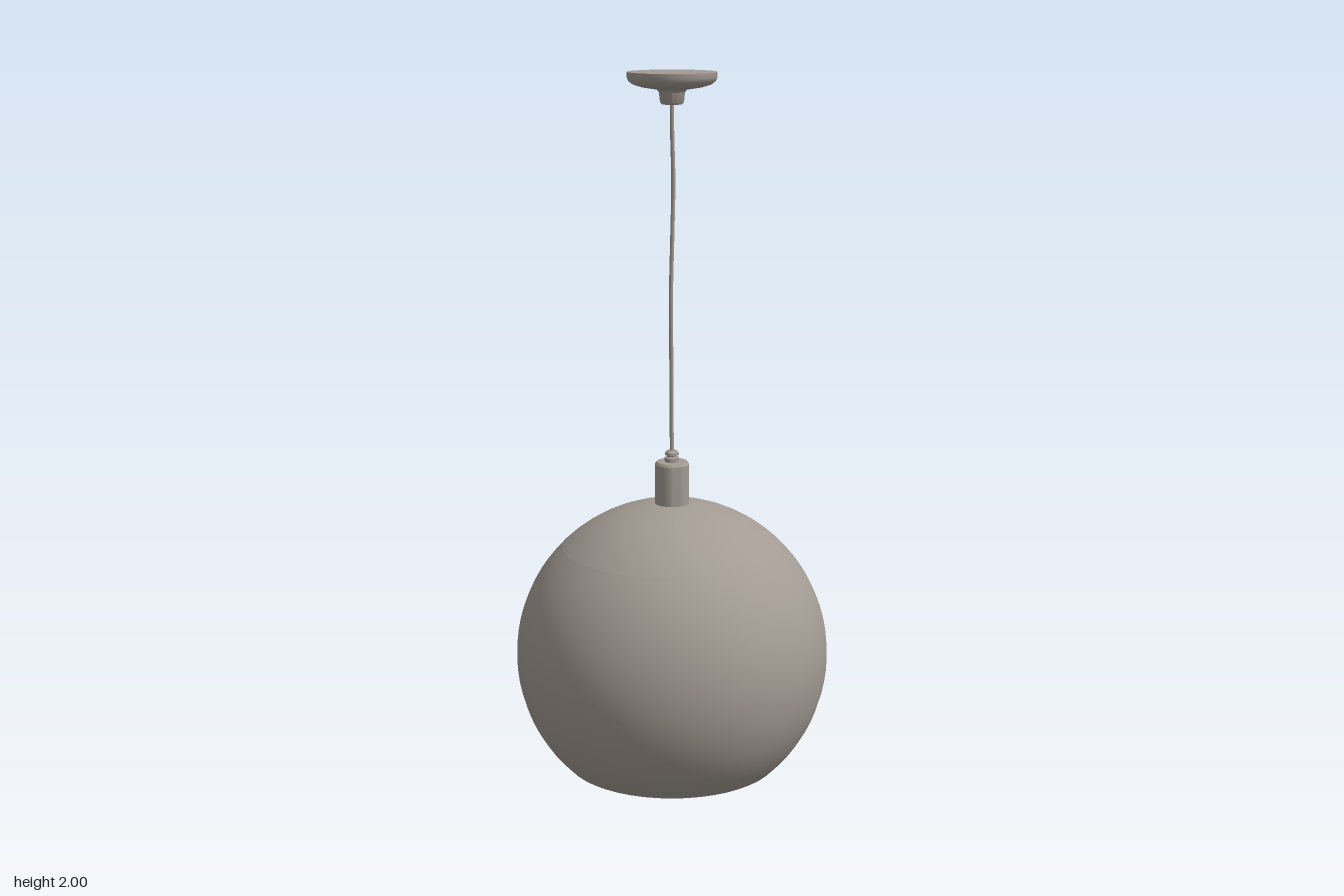
import * as THREE from 'three';
import { toCreasedNormals } from 'three/addons/utils/BufferGeometryUtils.js';

export function createModel() {
  const group = new THREE.Group();
  const taupe = new THREE.MeshStandardMaterial({ color: 0xa39b93 });
  taupe.name = 'warm grey';

  const add = (name, geometry) => {
    const mesh = new THREE.Mesh(geometry, taupe);
    mesh.name = name;
    group.add(mesh);
  };
  const lathe = (points, segments) =>
    new THREE.LatheGeometry(points.map(([r, y]) => new THREE.Vector2(r, y)), segments);
  const turned = (points, segments = 32) => toCreasedNormals(lathe(points, segments), 0.6);

  // Globe shade: a thin-walled sphere cut open at the bottom, in two bands
  const R = 0.453, CY = 0.327, WALL = 0.008, SEAM = 0.65;
  const arc = (radius, y0, y1, n) => {
    const a0 = Math.asin(THREE.MathUtils.clamp((y0 - CY) / radius, -1, 1));
    const a1 = Math.asin(THREE.MathUtils.clamp((y1 - CY) / radius, -1, 1));
    return Array.from({ length: n + 1 }, (_, i) => {
      const a = a0 + (a1 - a0) * i / n;
      return [Math.max(0, radius * Math.cos(a)), CY + radius * Math.sin(a)];
    });
  };
  const shell = (y0, y1, n) =>
    turned([...arc(R - WALL, y1, y0, n), ...arc(R, y0, y1, n)], 48);
  add('shade', shell(0, SEAM, 20));
  add('shadeCap', shell(SEAM, CY + R, 8));

  // Lamp holder and cord grip on top of the globe
  add('lampHolder', turned([[0, 0.74], [0.049, 0.74], [0.049, 0.893], [0.044, 0.9], [0, 0.9]]));
  add('cordGrip', turned([[0, 0.895], [0.021, 0.895], [0.021, 0.912], [0.014, 0.914],
    [0.014, 0.918], [0.02, 0.92], [0.02, 0.927], [0.013, 0.933], [0, 0.933]], 16));

  // Slightly wavy hanging cord
  const path = new THREE.CatmullRomCurve3([
    [0, 0.92, 0], [0, 1.02, -0.004], [-0.002, 1.2, 0], [-0.004, 1.38, 0.004],
    [0.001, 1.55, 0], [0.005, 1.7, -0.004], [0.001, 1.84, -0.002], [0, 1.93, 0],
  ].map(p => new THREE.Vector3(...p)));
  add('cord', new THREE.TubeGeometry(path, 40, 0.006, 8));

  // Ceiling canopy with its neck
  add('ceilingCanopy', turned([[0, 1.912], [0.028, 1.912], [0.033, 1.918], [0.036, 1.945],
    [0.042, 1.952], [0.085, 1.959], [0.108, 1.966], [0.12, 1.975], [0.125, 1.986],
    [0.125, 2], [0, 2]], 40));

  return group;
}
